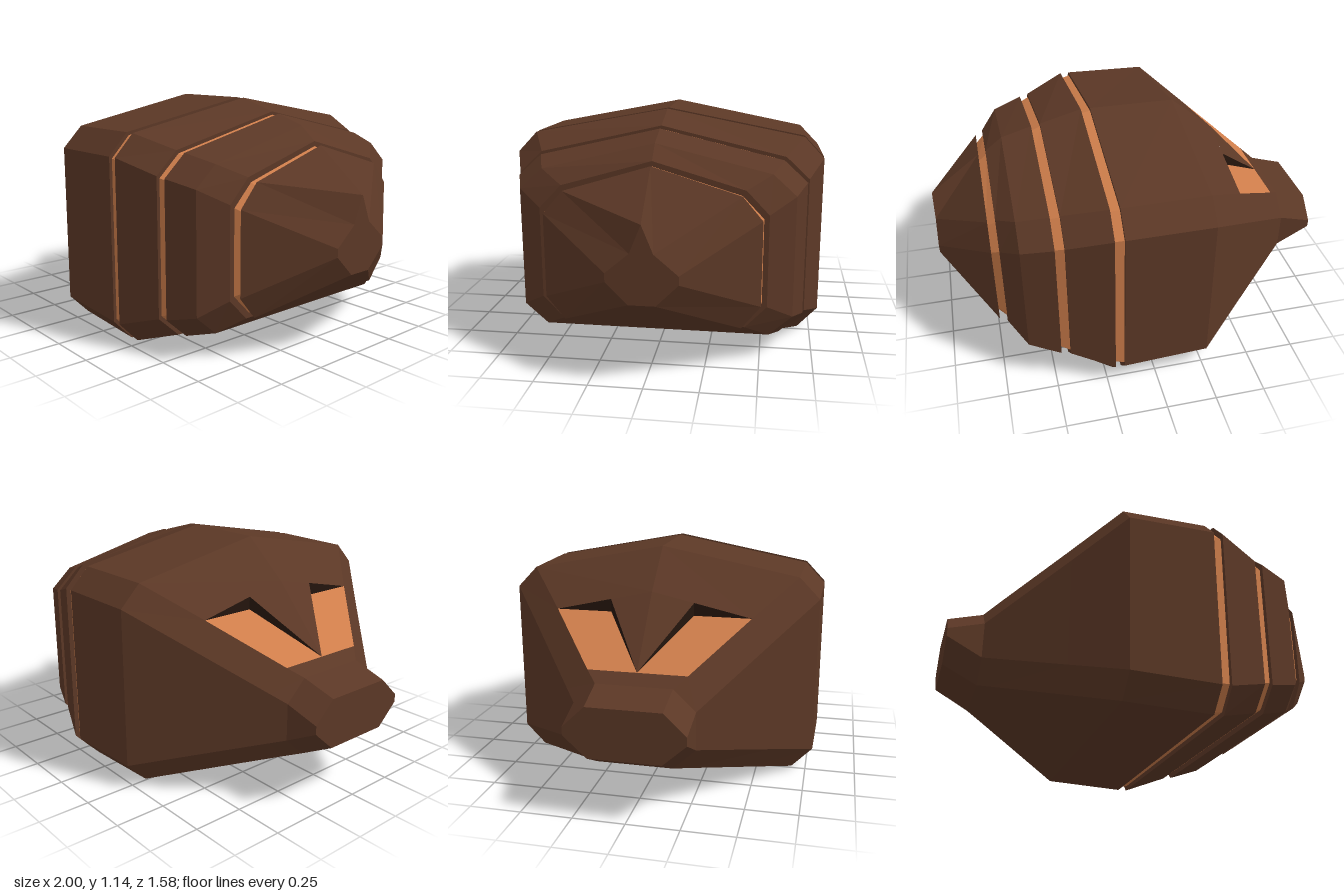
import * as THREE from 'three';

const shellMat = new THREE.MeshStandardMaterial({ color: 0x5c3826 });
shellMat.name = 'shellBrown';
const glowMat = new THREE.MeshStandardMaterial({ color: 0xcf7e4b });
glowMat.name = 'copperOrange';
const darkMat = new THREE.MeshStandardMaterial({ color: 0x24150d });
darkMat.name = 'socketDark';

// Nine-point cross-section: top, shoulder, upper side, lower side, bottom, mirrored in z
function section(x, top, shZ, shY, sideZ, hi, lo, botZ, bot) {
  const half = [[shZ, shY], [sideZ, hi], [sideZ, lo], [botZ, bot]];
  const ring = [[0, top], ...half, ...half.slice().reverse().map(([z, y]) => [-z, y])];
  return ring.map(([z, y]) => new THREE.Vector3(x, y, z));
}

// Same section pulled inwards by d
const inset = (x, d, top, shZ, shY, sideZ, hi, lo, botZ, bot) =>
  section(x, top - d, shZ - d * 0.7, shY - d, sideZ - d, hi - d * 0.7, lo + d * 0.7, botZ - d * 0.7, bot + d);

// Flat-faced mesh from a list of triangle corners
function facets(name, points, mat) {
  const geo = new THREE.BufferGeometry().setFromPoints(points);
  geo.computeVertexNormals();
  const mesh = new THREE.Mesh(geo, mat);
  mesh.name = name;
  return mesh;
}

// Skin consecutive sections (x rising) and cap both ends; skip(s, i) leaves a face open
function loft(name, rings, mat, skip = () => false) {
  const pts = [];
  const n = rings[0].length;
  for (let s = 0; s < rings.length - 1; s++) {
    const a = rings[s], b = rings[s + 1];
    for (let i = 0; i < n; i++) {
      if (skip(s, i)) continue;
      const j = (i + 1) % n;
      pts.push(a[i], a[j], b[i], a[j], b[j], b[i]);
    }
  }
  const cap = (ring, flip) => {
    const c = ring[0].clone().setY((ring[1].y + ring[4].y) / 2);
    for (let i = 0; i < n; i++) {
      const p = ring[i], q = ring[(i + 1) % n];
      pts.push(c, flip ? q : p, flip ? p : q);
    }
  };
  cap(rings[0], true);
  cap(rings[rings.length - 1], false);
  return facets(name, pts, mat);
}

export function createModel() {
  const model = new THREE.Group();
  model.name = 'armouredBody';

  const bandA = [1.14, 0.69, 1.01, 0.79, 0.905, 0.107, 0.69, 0.0];
  const bandB = [1.083, 0.6, 0.945, 0.712, 0.84, 0.175, 0.6, 0.07];
  const bandC = [1.03, 0.54, 0.9, 0.65, 0.8, 0.22, 0.54, 0.122];
  const bandD = [0.963, 0.425, 0.84, 0.53, 0.73, 0.295, 0.43, 0.19];

  // Snout, head and first big shell; the two roof faces at the eyes stay open
  model.add(loft('headShell', [
    section(-1, 0.54, 0.175, 0.54, 0.28, 0.44, 0.4, 0.17, 0.3),
    section(-0.83, 0.59, 0.18, 0.59, 0.285, 0.49, 0.31, 0.18, 0.21),
    section(-0.77, 0.634, 0.235, 0.634, 0.337, 0.533, 0.29, 0.232, 0.19),
    section(-0.485, 0.95, 0.48, 0.842, 0.585, 0.738, 0.195, 0.483, 0.092),
    section(-0.262, 1.137, 0.68, 1.005, 0.782, 0.9, 0.12, 0.68, 0.015),
    section(0.165, ...bandA),
  ], shellMat, (s, i) => s === 2 && (i === 0 || i === 8)));

  // Eye sockets: sunken eye plate, dark walls and the raised wedge between them
  for (const side of [1, -1]) {
    const v = (x, y, z) => new THREE.Vector3(x, y, z * side);
    const tri = (a, b, c) => (side > 0 ? [a, b, c] : [a, c, b]);
    const tip = v(-0.77, 0.634, 0), outerLow = v(-0.77, 0.634, 0.235);
    const outerTop = v(-0.485, 0.842, 0.48), innerTop = v(-0.485, 0.842, 0.205);
    const brow = v(-0.485, 0.904, 0.205), peak = v(-0.485, 0.95, 0);
    model.add(facets('eye', [
      ...tri(tip, outerLow, innerTop), ...tri(outerLow, outerTop, innerTop),
    ], glowMat));
    model.add(facets('socketWall', [
      ...tri(tip, innerTop, brow), ...tri(brow, innerTop, outerTop),
    ], darkMat));
    model.add(facets('browWedge', tri(tip, brow, peak), shellMat));
  }

  // Overlapping rear shells
  model.add(loft('middleShell', [section(0.212, ...bandA), section(0.422, ...bandB)], shellMat));
  model.add(loft('rearShell', [
    section(0.467, 1.075, 0.59, 0.937, 0.703, 0.833, 0.18, 0.59, 0.075),
    section(0.62, ...bandC),
    section(0.705, ...bandD),
  ], shellMat));
  model.add(loft('tailShell', [
    section(0.743, 0.947, 0.41, 0.822, 0.503, 0.712, 0.31, 0.415, 0.2),
    section(1, 0.75, 0.052, 0.622, 0.16, 0.53, 0.49, 0.06, 0.39),
  ], shellMat));

  // Copper core showing in the gaps between shells
  model.add(loft('core', [
    inset(0.15, 0.012, ...bandA),
    inset(0.22, 0.025, ...bandA),
    inset(0.42, 0.015, ...bandB),
    inset(0.6, 0.03, ...bandC),
    inset(0.7, 0.02, ...bandD),
    inset(0.75, 0.06, ...bandD),
  ], glowMat));

  return model;
}
